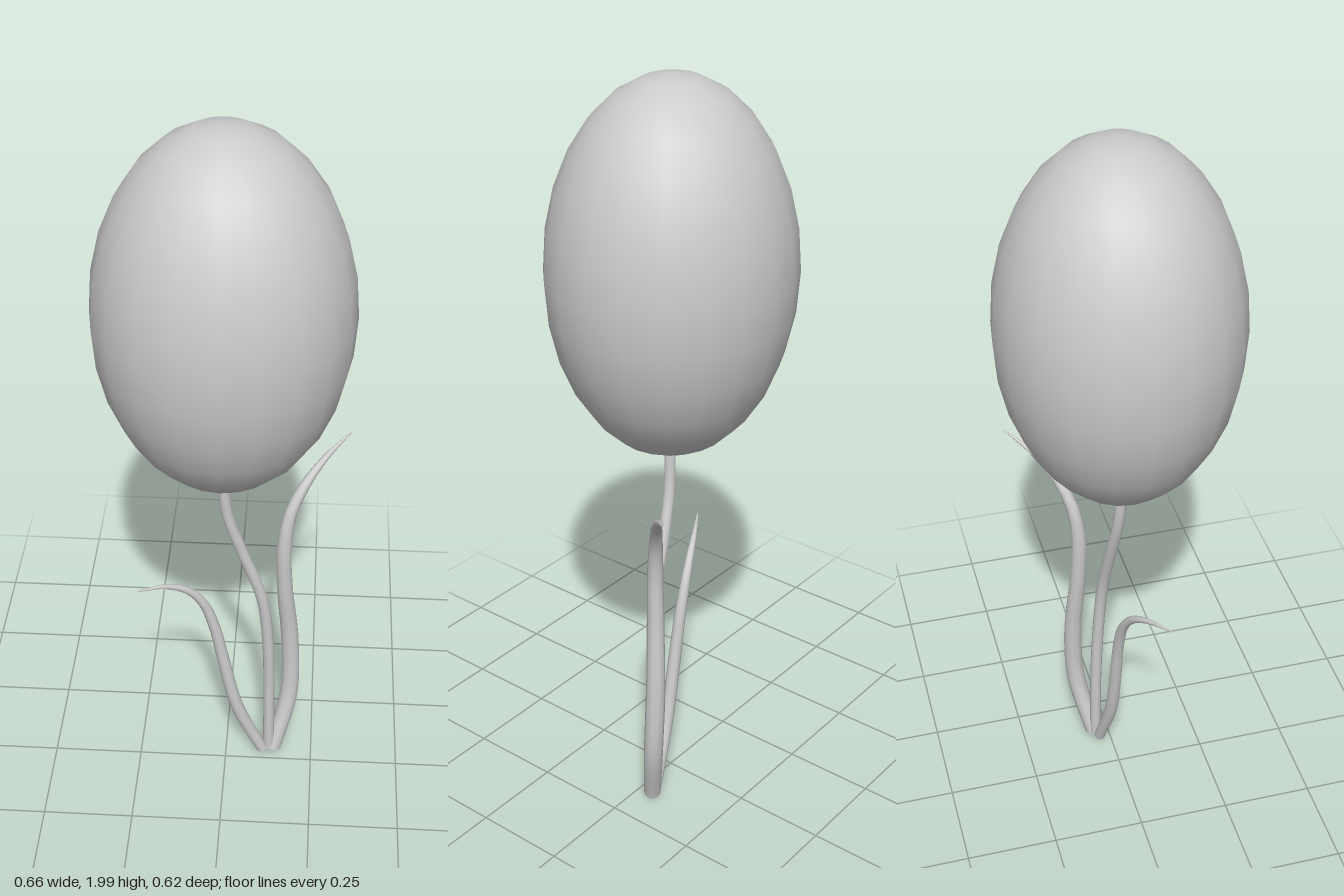
import * as THREE from 'three';

const material = new THREE.MeshStandardMaterial({ color: 0xcccccc });
const STEPS = 28, SIDES = 10;

// Round stalk along a curve; radii are evenly spaced from base to tip
function stalk(name, points, radii) {
  const curve = new THREE.CatmullRomCurve3(points.map(p => new THREE.Vector3(...p)));
  const geometry = new THREE.TubeGeometry(curve, STEPS, 1, SIDES, false);
  const pos = geometry.attributes.position, v = new THREE.Vector3();
  for (let i = 0; i <= STEPS; i++) {
    const centre = curve.getPointAt(i / STEPS);
    const t = (i / STEPS) * (radii.length - 1);
    const k = Math.min(Math.floor(t), radii.length - 2);
    const radius = THREE.MathUtils.lerp(radii[k], radii[k + 1], t - k);
    for (let j = 0; j <= SIDES; j++) {
      const n = i * (SIDES + 1) + j;
      v.fromBufferAttribute(pos, n).sub(centre).multiplyScalar(radius).add(centre);
      pos.setXYZ(n, v.x, v.y, v.z);
    }
  }
  const group = new THREE.Group();
  group.name = name;
  const tube = new THREE.Mesh(geometry, material);
  tube.name = name + 'Tube';
  group.add(tube);

  // Flat caps closing both ends
  for (const [u, radius, dir] of [[0, radii[0], -1], [1, radii[radii.length - 1], 1]]) {
    const cap = new THREE.Mesh(new THREE.CircleGeometry(radius, SIDES), material);
    cap.name = name + 'Cap';
    cap.position.copy(curve.getPointAt(u));
    cap.quaternion.setFromUnitVectors(new THREE.Vector3(0, 0, 1),
      curve.getTangentAt(u).multiplyScalar(dir));
    group.add(cap);
  }
  return group;
}

export function createModel() {
  const model = new THREE.Group();
  model.name = 'flower';

  // Egg-shaped closed bloom
  const bloom = new THREE.Mesh(new THREE.SphereGeometry(1, 20, 14), material);
  bloom.name = 'bloom';
  bloom.scale.set(0.325, 0.487, 0.31);
  bloom.position.set(-0.005, 1.513, 0);
  model.add(bloom);

  // Stem swaying up into the bloom
  model.add(stalk('stem', [
    [0.125, 0.015, -0.04], [0.123, 0.25, -0.037], [0.118, 0.43, -0.03], [0.1, 0.6, -0.021],
    [0.042, 0.78, -0.01], [0.006, 0.9, 0], [-0.009, 1.06, 0.008]
  ], [0.016, 0.016, 0.016, 0.015]));

  // Tall leaf curling outwards and back
  model.add(stalk('tallLeaf', [
    [0.138, 0.013, -0.044], [0.18, 0.2, -0.083], [0.178, 0.4, -0.09], [0.16, 0.6, -0.077],
    [0.156, 0.75, -0.073], [0.17, 0.85, -0.087], [0.21, 0.93, -0.122],
    [0.264, 0.985, -0.174], [0.326, 1.022, -0.235]
  ], [0.023, 0.026, 0.026, 0.023, 0.021, 0.014, 0.002]));

  // Short leaf curling outwards and forwards
  model.add(stalk('shortLeaf', [
    [0.106, 0.015, -0.032], [0.033, 0.2, -0.014], [-0.01, 0.4, -0.01], [-0.03, 0.5, -0.009],
    [-0.062, 0.595, -0.003], [-0.105, 0.653, 0.014], [-0.16, 0.685, 0.042],
    [-0.227, 0.699, 0.083]
  ], [0.016, 0.018, 0.018, 0.017, 0.015, 0.01, 0.002]));

  return model;
}
